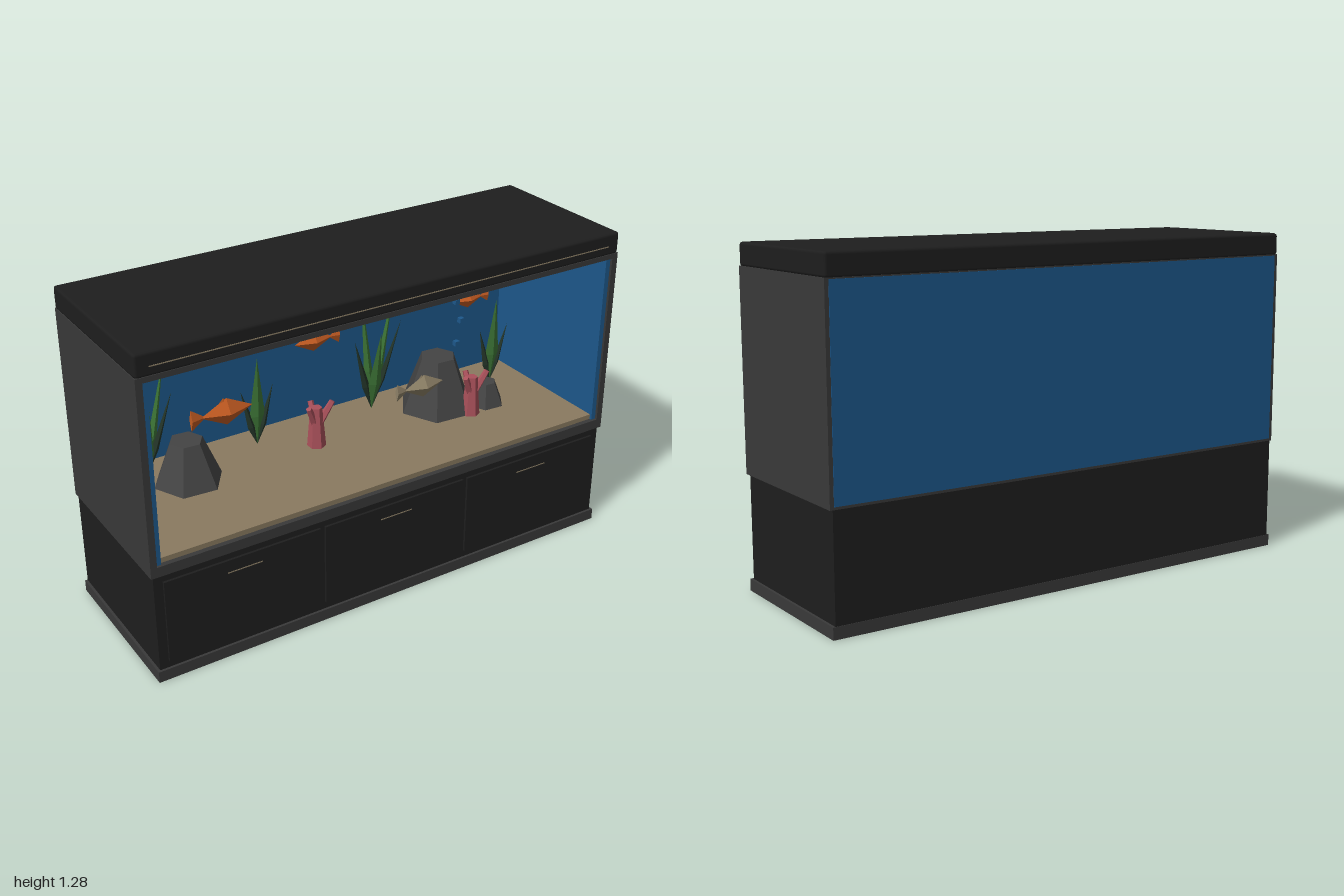
import * as THREE from 'three';
import { RoundedBoxGeometry } from 'three/addons/geometries/RoundedBoxGeometry.js';

const mat = (name, color, extra = {}) => {
  const m = new THREE.MeshStandardMaterial({ color, ...extra });
  m.name = name;
  return m;
};

export function createModel() {
  const root = new THREE.Group();
  root.name = 'aquarium';
  const flat = { flatShading: true };
  const black = mat('black', 0x1e1e1e);
  const grey = mat('frame grey', 0x393939);
  const blue = mat('water blue', 0x1d588b);
  const sand = mat('sand', 0x8a7a60);
  const rock = mat('rock grey', 0x444444, flat);
  const green = mat('leaf green', 0x3f7838, flat);
  const darkGreen = mat('dark leaf green', 0x25372a, flat);
  const pink = mat('coral pink', 0xa9505a, flat);
  const orange = mat('fish orange', 0xc45c22, flat);
  const pale = mat('pale fish', 0x8f8268, flat);

  const add = (name, geo, material, parent = root) => {
    const mesh = new THREE.Mesh(geo, material);
    mesh.name = name;
    parent.add(mesh);
    return mesh;
  };
  const group = (name, x, y, z) => {
    const g = new THREE.Group();
    g.name = name;
    g.position.set(x, y, z);
    root.add(g);
    return g;
  };
  // Box given by its minimum and maximum on each axis
  const box = (name, [x0, x1], [y0, y1], [z0, z1], material) => {
    const mesh = add(name, new THREE.BoxGeometry(x1 - x0, y1 - y0, z1 - z0), material);
    mesh.position.set((x0 + x1) / 2, (y0 + y1) / 2, (z0 + z1) / 2);
    return mesh;
  };

  // Hollow plinth, open underneath
  box('plinthFront', [-1, 1], [0, 0.045], [0.318, 0.33], grey);
  box('plinthBack', [-1, 1], [0, 0.045], [-0.33, -0.32], grey);
  box('plinthRight', [-1, -0.988], [0, 0.045], [-0.32, 0.318], grey);
  box('plinthLeft', [0.988, 1], [0, 0.045], [-0.32, 0.318], grey);

  // Cabinet, doors and slim pulls
  box('cabinet', [-0.99, 0.99], [0.043, 0.44], [-0.328, 0.32], black);
  for (const [x0, x1] of [[-0.955, -0.33], [-0.31, 0.31], [0.33, 0.955]]) {
    box('door', [x0, x1], [0.075, 0.41], [0.318, 0.33], black);
    const mid = (x0 + x1) / 2;
    box('doorPull', [mid - 0.07, mid + 0.07], [0.358, 0.362], [0.328, 0.331], pale);
  }

  // Tank frame and panels
  box('tankFloor', [-1, 1], [0.44, 0.48], [-0.328, 0.33], grey);
  box('backPanel', [-0.985, 0.985], [0.45, 1.19], [-0.33, -0.31], blue);
  box('topRailFront', [-0.98, 0.98], [1.175, 1.195], [0.31, 0.33], grey);
  box('topRailBack', [-0.98, 0.98], [1.175, 1.195], [-0.328, -0.305], grey);
  for (const s of [-1, 1]) {
    const span = (a, b) => (s > 0 ? [a, b] : [-b, -a]);
    box('sideWall', span(0.975, 1), [0.48, 1.195], [-0.328, 0.33], grey);
    box('sideLining', span(0.955, 0.975), [0.48, 1.18], [-0.31, 0.32], blue);
  }
  box('sandBed', [-0.955, 0.955], [0.48, 0.5], [-0.31, 0.31], sand);

  // Lid with a fine light strip
  add('lid', new RoundedBoxGeometry(2, 0.088, 0.66, 1, 0.012), black).position.y = 1.235;
  box('lightStrip', [-0.95, 0.95], [1.226, 1.23], [0.328, 0.331], pale);

  // Rocks: x, z, bottom radius, top radius, height
  for (const [x, z, r0, r1, h] of [
    [-0.642, -0.1, 0.134, 0.064, 0.17],
    [0.478, -0.09, 0.156, 0.073, 0.225],
    [0.665, -0.01, 0.08, 0.042, 0.095],
  ]) {
    const mesh = add('rock', new THREE.CylinderGeometry(r1, r0, h, 6), rock);
    mesh.position.set(x, 0.5 + h / 2, z);
    mesh.rotation.y = 0.45;
  }

  // Rod between two points
  const up = new THREE.Vector3(0, 1, 0);
  const aim = (mesh, a, b) => {
    mesh.position.copy(a).lerp(b, 0.5);
    mesh.quaternion.setFromUnitVectors(up, b.clone().sub(a).normalize());
  };
  const v = (x, y, z) => new THREE.Vector3(x, y, z);

  // Corals
  for (const [x, z] of [[-0.105, -0.07], [0.555, 0.04]]) {
    const g = group('coral', x, 0.5, z);
    add('trunk', new THREE.CylinderGeometry(0.023, 0.037, 0.165, 6), pink, g).position.y = 0.0825;
    for (const [tx, ty, tz] of [[-0.042, 0.175, 0.015], [0.067, 0.178, 0.01], [0.004, 0.17, -0.05]]) {
      const a = v(tx * 0.1, 0.085, tz * 0.1), b = v(tx, ty, tz);
      aim(add('branch', new THREE.CylinderGeometry(0.012, 0.017, a.distanceTo(b), 5), pink, g), a, b);
    }
  }

  // Leaf: a flattened spindle, widest a third of the way up
  const leaf = (g, [tx, ty, tz, width, material]) => {
    const tip = v(tx, ty, tz), len = tip.length();
    const geo = new THREE.OctahedronGeometry(1);
    const p = geo.attributes.position;
    for (let i = 0; i < p.count; i++) {
      const y = p.getY(i);
      p.setXYZ(i, p.getX(i) * width,
        (y > 0.5 ? 0.5 : y < -0.5 ? -0.5 : -0.16) * len, p.getZ(i) * 0.012);
    }
    geo.computeVertexNormals();
    aim(add('leaf', geo, material, g), v(0, 0, 0), tip);
  };
  const tall = [[-0.05, 0.51, 0.0, 0.02, green], [0.115, 0.495, -0.02, 0.02, green],
    [0.012, 0.35, 0.05, 0.03, green], [-0.1, 0.335, 0.03, 0.017, darkGreen],
    [0.125, 0.37, 0.02, 0.017, darkGreen]];
  const short = [[0, 0.375, 0.02, 0.034, green], [-0.07, 0.25, 0.01, 0.017, darkGreen],
    [0.07, 0.25, 0.01, 0.017, darkGreen]];
  for (const [x, z, leaves, k] of [
    [-0.77, -0.19, tall, 0.92], [-0.295, -0.2, short, 1],
    [0.24, -0.21, tall, 1], [0.797, -0.15, short, 1.02],
  ]) {
    const g = group('plant', x, 0.5, z);
    g.scale.setScalar(k);
    leaves.forEach((l) => leaf(g, l));
  }

  // Fish facing +x: x, y, z, length scale, facing, material
  for (const [x, y, z, k, dir, m] of [
    [-0.546, 0.828, 0.05, 1, 1, orange], [-0.154, 0.985, 0, 0.77, -1, orange],
    [0.588, 0.96, -0.05, 0.68, -1, orange], [-0.724, 1.04, -0.12, 0.57, 1, pale],
    [0.282, 0.72, 0.09, 0.88, 1, pale],
  ]) {
    const g = group('fish', x, y, z);
    g.scale.setScalar(k);
    if (dir < 0) g.rotation.y = Math.PI;
    add('body', new THREE.OctahedronGeometry(1).scale(0.104, 0.053, 0.034), m, g);
    const tail = add('tail', new THREE.ConeGeometry(0.042, 0.058, 4).scale(1, 1, 0.3), m, g);
    tail.rotation.z = -Math.PI / 2;
    tail.position.x = -0.112;
    const fin = add('fin', new THREE.ConeGeometry(0.03, 0.03, 4).scale(1, 1, 0.2), m, g);
    fin.position.set(-0.012, 0.041, 0);
  }

  // Rising bubbles
  for (const [x, y] of [[0.5, 0.81], [0.518, 0.905], [0.492, 0.99], [0.513, 1.077]])
    add('bubble', new THREE.BoxGeometry(0.02, 0.02, 0.02), blue).position.set(x, y, 0);

  return root;
}
